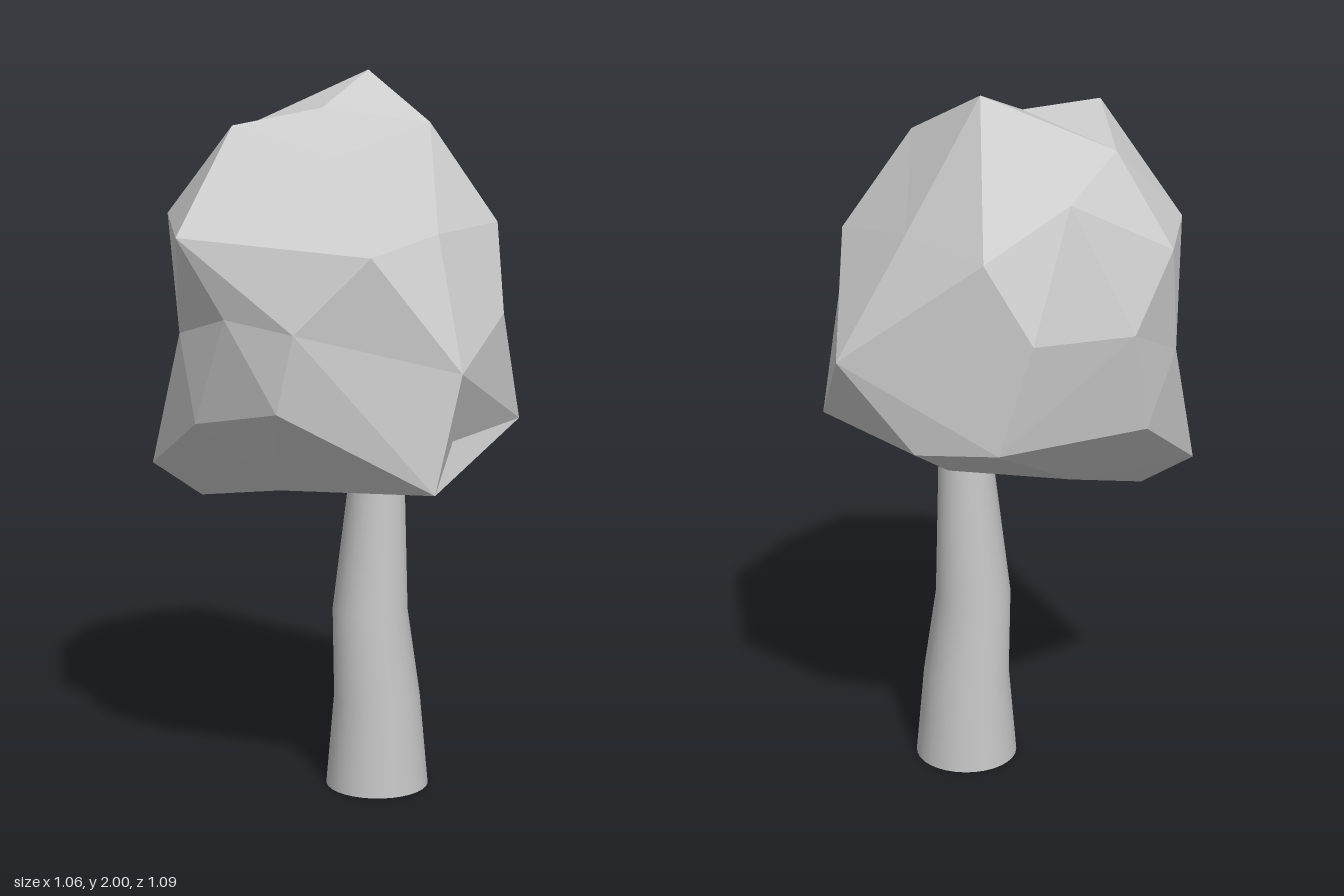
import * as THREE from 'three';
import { ConvexGeometry } from 'three/addons/geometries/ConvexGeometry.js';

const material = new THREE.MeshStandardMaterial({ color: 0xcccccc });

// Trunk: a tapered cylinder whose rings are shifted into a slight bend
function createTrunk() {
  // y, centre x, centre z, radius
  const rings = [
    [0, 0.057, -0.073, 0.145],
    [0.26, 0.058, -0.071, 0.122],
    [0.51, 0.04, -0.06, 0.106],
    [1.02, 0.062, -0.073, 0.068],
  ];
  const geometry = new THREE.CylinderGeometry(1, 1, 3, 32, 3);
  const pos = geometry.attributes.position;
  for (let i = 0; i < pos.count; i++) {
    const [y, cx, cz, r] = rings[Math.round(pos.getY(i) + 1.5)];
    pos.setXYZ(i, cx + pos.getX(i) * r, y, cz + pos.getZ(i) * r);
  }
  const trunk = new THREE.Mesh(geometry, material);
  trunk.name = 'trunk';
  return trunk;
}

// Crown: corner points of a faceted lump, skinned around its centre
function createCrown() {
  const corners = [
    // top
    [-0.15, 2, -0.21], [-0.04, 1.88, 0.35], [-0.35, 1.84, 0.085],
    [0.105, 1.87, -0.215], [0.19, 1.8, 0.19], [-0.07, 1.91, 0.02],
    // front
    [-0.03, 1.6, 0.545], [-0.365, 1.62, 0.33], [-0.15, 1.325, 0.45],
    [0.075, 1.39, 0.47], [0.27, 1.365, 0.395], [-0.07, 1.09, 0.46],
    [0.23, 1.155, 0.42], [-0.39, 0.92, 0.375],
    // +x side
    [0.4, 1.565, 0.243], [0.53, 1.26, 0.043], [0.507, 0.945, 0.115],
    [0.35, 1.6, -0.03], [0.36, 1.37, -0.26], [0.24, 1.6, -0.345],
    // -x side
    [-0.515, 1.6, 0.13], [-0.48, 1.305, 0.19], [-0.53, 1.405, -0.025],
    [-0.51, 1.125, 0.05], [-0.405, 1.75, -0.14],
    // back
    [0.045, 1.315, -0.545], [-0.055, 1.65, -0.385], [-0.295, 1.61, -0.34],
    [-0.42, 1.41, -0.285], [-0.355, 1.11, -0.345], [-0.14, 1.08, -0.44],
    [0.31, 1.06, -0.37],
    // underside
    [-0.275, 0.835, 0.29], [0.08, 0.91, 0.29], [0.43, 1.06, -0.015],
    [-0.053, 0.955, -0.24], [-0.32, 0.95, -0.04], [0.08, 0.99, -0.05],
  ];
  const centre = new THREE.Vector3(0, 1.4, 0);
  const power = 0.35;

  // Even out the radii so the hull keeps the shallow dents, then restore them
  const rounded = corners.map((c) => {
    const v = new THREE.Vector3(...c).sub(centre);
    return v.setLength(v.length() ** power);
  });
  const geometry = new ConvexGeometry(rounded);
  const pos = geometry.attributes.position;
  const v = new THREE.Vector3();
  for (let i = 0; i < pos.count; i++) {
    v.fromBufferAttribute(pos, i);
    v.setLength(v.length() ** (1 / power)).add(centre);
    pos.setXYZ(i, v.x, v.y, v.z);
  }
  geometry.computeVertexNormals();

  const flat = material.clone();
  flat.flatShading = true;
  const crown = new THREE.Mesh(geometry, flat);
  crown.name = 'crown';
  return crown;
}

export function createModel() {
  const tree = new THREE.Group();
  tree.name = 'tree';
  tree.add(createTrunk(), createCrown());
  return tree;
}
